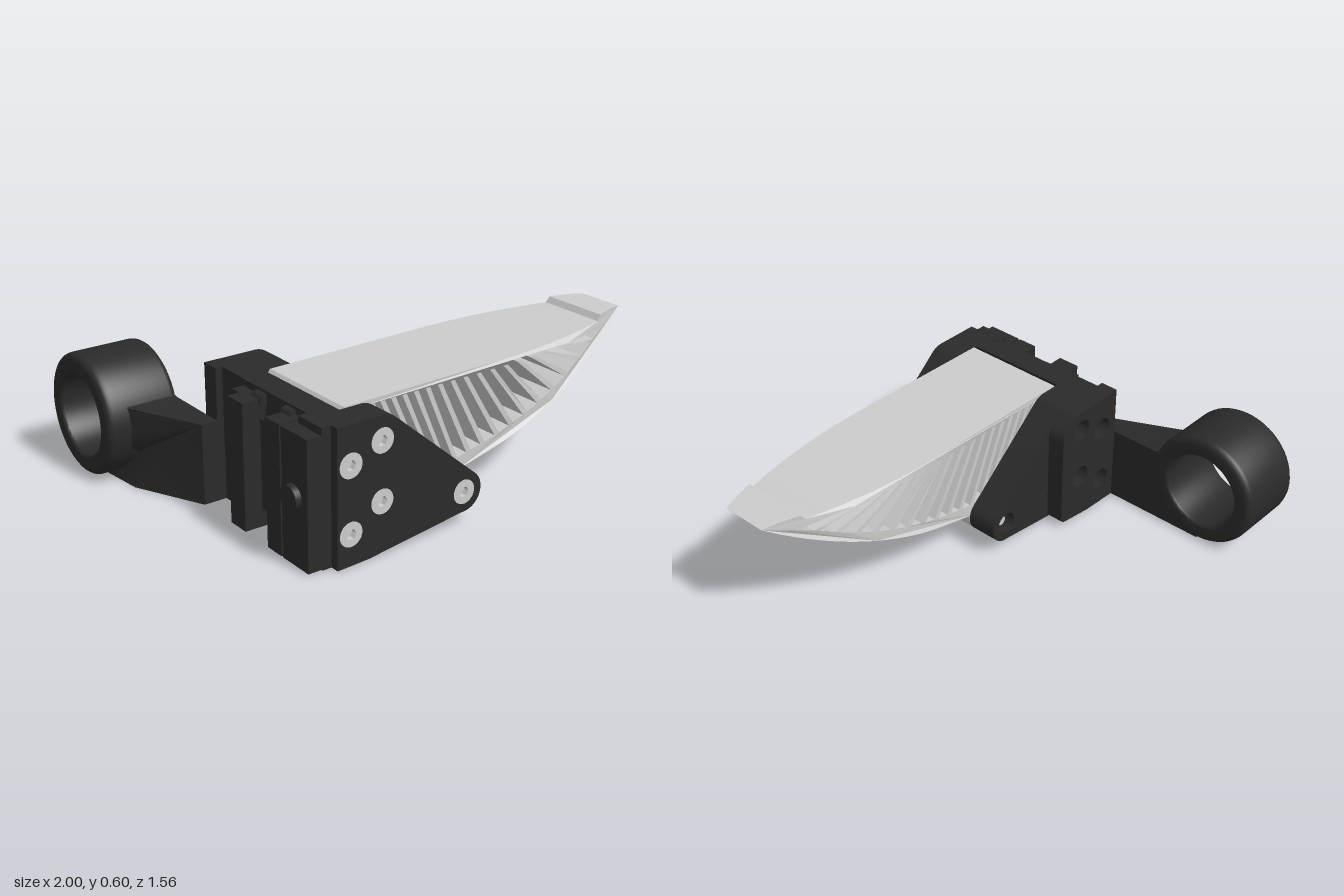
import * as THREE from 'three';
import { toCreasedNormals } from 'three/addons/utils/BufferGeometryUtils.js';

const dark = new THREE.MeshStandardMaterial({ color: 0x2a2a2a });
const grey = new THREE.MeshStandardMaterial({ color: 0xcccccc });
const V = (x, y) => new THREE.Vector2(x, y);
const MID = 0.405; // z of the finger's centre plane
const BOLTS = [[-0.6, 0.4], [-0.46, 0.46], [-0.6, 0.13], [-0.46, 0.22], [-0.07, 0.145]];

export function createModel() {
  const model = new THREE.Group();
  const add = (name, geo, mat = dark, x = 0, y = 0, z = 0) => {
    const m = new THREE.Mesh(geo, mat);
    m.name = name;
    m.position.set(x, y, z);
    model.add(m);
    return m;
  };
  const box = (name, x0, x1, y0, y1, z0, z1, mat = dark) =>
    add(name, new THREE.BoxGeometry(x1 - x0, y1 - y0, z1 - z0), mat, (x0 + x1) / 2, (y0 + y1) / 2, (z0 + z1) / 2);
  const rod = (name, x, y, z0, z1, r, mat, sides = 32) =>
    add(name, new THREE.CylinderGeometry(r, r, z1 - z0, sides).rotateX(Math.PI / 2), mat, x, y, (z0 + z1) / 2);
  const plate = (name, shape, z0, z1, holes) => {
    for (const [x, y] of holes) shape.holes.push(new THREE.Path().absarc(x, y, 0.05, 0, Math.PI * 2, true));
    const geo = new THREE.ExtrudeGeometry(shape, { depth: z1 - z0, bevelEnabled: false, curveSegments: 20 });
    add(name, toCreasedNormals(geo, 0.5), dark, 0, 0, z0);
  };

  // Side plates
  const sideShape = () => {
    const s = new THREE.Shape();
    s.moveTo(-0.66, 0);
    s.lineTo(-0.52, 0.005);
    s.lineTo(-0.08, 0.061);
    s.absarc(-0.07, 0.145, 0.083, -1.45, 0.87, false);
    s.lineTo(-0.4, 0.535);
    s.quadraticCurveTo(-0.425, 0.557, -0.46, 0.557);
    s.lineTo(-0.66, 0.557);
    return s;
  };
  plate('frontSidePlate', sideShape(), 0.645, 0.777, BOLTS);
  plate('backSidePlate', sideShape(), 0.032, 0.167, BOLTS);

  // Bolts: socket heads in front, recessed ends behind
  for (const [x, y] of BOLTS) {
    const ring = new THREE.Shape().absarc(0, 0, 0.05, 0, Math.PI * 2, false);
    const hex = Array.from({ length: 6 }, (_, i) => V(0.022 * Math.cos(-i * Math.PI / 3), 0.022 * Math.sin(-i * Math.PI / 3)));
    ring.holes.push(new THREE.Path(hex));
    add('boltHead', toCreasedNormals(new THREE.ExtrudeGeometry(ring, { depth: 0.04, bevelEnabled: false, curveSegments: 20 }), 0.5), grey, x, y, 0.738);
    rod('boltCore', x, y, 0.66, 0.755, 0.045, grey);
    rod('boltSeat', x, y, 0.075, 0.16, 0.0505, dark);
    rod('boltEnd', x, y, 0.06, 0.09, 0.022, grey, 16);
  }

  // Rear block, floor and mounting rails
  box('rearBlock', -0.66, -0.55, 0, 0.555, 0.13, 0.67);
  box('rearCorner', -0.7, -0.64, 0, 0.557, 0.6, 0.74);
  const floor = new THREE.Shape([V(-0.6, 0), V(-0.52, 0.005), V(-0.2, 0.046), V(-0.2, 0.08), V(-0.6, 0.08)]);
  plate('floor', floor, 0.16, 0.65, []);
  for (const [z0, z1] of [[0.23, 0.33], [0.48, 0.57], [0.58, 0.74]])
    box('rail', -0.762, -0.63, 0.005, 0.527, z0, z1);
  box('smallRail', -0.71, -0.63, 0.005, 0.527, 0.18, 0.232);
  box('rearTab', -0.685, -0.64, 0.08, 0.45, 0.33, 0.48);
  for (const z of [0.23, 0.48, 0.577]) box('metalStrip', -0.755, -0.635, 0.13, 0.47, z - 0.004, z + 0.003, grey);
  add('railKnob', new THREE.CylinderGeometry(0.05, 0.05, 0.03, 24).rotateZ(Math.PI / 2), dark, -0.772, 0.28, 0.655);
  for (const z of [0.31, 0.5]) rod('railScrew', -0.665, 0.52, z - 0.03, z + 0.03, 0.025, dark, 16);

  // Arm base bolted on the back plate
  const base = new THREE.Shape();
  base.moveTo(-0.69, 0);
  base.lineTo(-0.52, 0.005);
  base.lineTo(-0.36, 0.026);
  base.quadraticCurveTo(-0.34, 0.03, -0.34, 0.06);
  base.lineTo(-0.34, 0.45);
  base.quadraticCurveTo(-0.34, 0.48, -0.36, 0.5);
  base.lineTo(-0.4, 0.535);
  base.quadraticCurveTo(-0.425, 0.557, -0.46, 0.557);
  base.lineTo(-0.69, 0.557);
  plate('armBase', base, -0.048, 0.033, BOLTS.slice(0, 4));

  // Arm, flaring towards the ring
  const RY = 0.255, RZ = -0.525;
  const arm = new THREE.Shape();
  arm.moveTo(0.033, 0);
  arm.lineTo(-0.27, 0);
  arm.lineTo(RZ, 0);
  arm.lineTo(RZ, 0.05);
  arm.absarc(RZ, RY, 0.205, -Math.PI / 2, 0.75, false);
  arm.lineTo(-0.342, 0.425);
  arm.quadraticCurveTo(-0.32, 0.345, -0.27, 0.34);
  arm.lineTo(0.033, 0.34);
  const armGeo = new THREE.ExtrudeGeometry(arm, { depth: 1, bevelEnabled: false, curveSegments: 16 }).rotateY(-Math.PI / 2);
  const ap = armGeo.attributes.position;
  for (let i = 0; i < ap.count; i++) {
    const flare = Math.min(0.24, 0.07 + (0.033 - ap.getZ(i)) * 0.47);
    ap.setX(i, -0.69 + ap.getX(i) * flare);
  }
  add('arm', toCreasedNormals(armGeo, 0.5));

  // Ring with rounded edges
  const profile = [];
  const corner = (r, h, rad, a0) => {
    for (let i = 0; i <= 4; i++) {
      const a = a0 + (i / 4) * Math.PI / 2;
      profile.push(V(r + rad * Math.cos(a), h + rad * Math.sin(a)));
    }
  };
  corner(0.225, -0.13, 0.03, -Math.PI / 2);
  corner(0.225, 0.13, 0.03, 0);
  corner(0.185, 0.145, 0.015, Math.PI / 2);
  corner(0.185, -0.145, 0.015, Math.PI);
  profile.push(profile[0].clone());
  add('ring', toCreasedNormals(new THREE.LatheGeometry(profile, 64).rotateZ(Math.PI / 2), 0.5), dark, -0.84, RY, RZ);

  // Ribbed finger: outline with slanted slots, tapered in plan
  const belly = new THREE.QuadraticBezierCurve(V(0, 0.16), V(0.55, 0.265), V(1, 0.595));
  const bellyPts = belly.getPoints(32);
  const bellyY = x => {
    const i = Math.max(1, bellyPts.findIndex(p => p.x >= x));
    const a = bellyPts[i - 1], b = bellyPts[i];
    return a.y + (b.y - a.y) * (x - a.x) / (b.x - a.x);
  };
  const innerY = x => Math.min(0.538, x < 0 ? 0.215 - 0.45 * x : bellyY(x) + 0.055 - 0.012 * x);
  const outline = [V(-0.53, 0.56), V(-0.545, 0.54), V(-0.53, 0.4), V(-0.5, 0.2), V(-0.1, 0.1), ...bellyPts, V(0.94, 0.6), V(0.845, 0.6), V(0.828, 0.576)];
  for (let i = 1; i < 16; i++) outline.push(V(0.828 - 1.358 * i / 16, 0.576 - 0.016 * i / 16));
  const finger = new THREE.Shape(outline);
  const N = 17, RIB = 0.022;
  const topX = u => -0.46 + 0.75 * u + 0.33 * u * u;
  const lowX = u => topX(u) + 0.08 + 0.17 * u;
  for (let i = 0; i < N; i++) {
    const u0 = i / N, u1 = (i + 1) / N;
    const tl = topX(u0) + RIB, tr = topX(u1), bl = lowX(u0) + RIB, br = lowX(u1);
    const yl = innerY(bl), yr = innerY(br), TOP = 0.542, pts = [];
    for (let k = 0; k < 4; k++) pts.push(V(tl + (tr - tl) * k / 4, TOP));
    for (let k = 0; k < 4; k++) pts.push(V(tr + (br - tr) * k / 4, TOP + (yr - TOP) * k / 4));
    for (let k = 0; k < 4; k++) { const x = br + (bl - br) * k / 4; pts.push(V(x, innerY(x))); }
    for (let k = 0; k < 4; k++) pts.push(V(bl + (tl - bl) * k / 4, yl + (TOP - yl) * k / 4));
    finger.holes.push(new THREE.Path(pts));
  }
  const fingerGeo = new THREE.ExtrudeGeometry(finger, { depth: 1, bevelEnabled: false });
  const fp = fingerGeo.attributes.position;
  for (let i = 0; i < fp.count; i++) {
    const u = Math.max(0, (fp.getX(i) - 0.2) / 0.8);
    fp.setZ(i, MID + (fp.getZ(i) * 2 - 1) * (0.237 - 0.135 * u * u));
  }
  add('finger', toCreasedNormals(fingerGeo, 0.3), grey);
  rod('fingerHinge', -0.08, 0.145, MID - 0.237, MID + 0.237, 0.09, grey, 40);

  return model;
}
